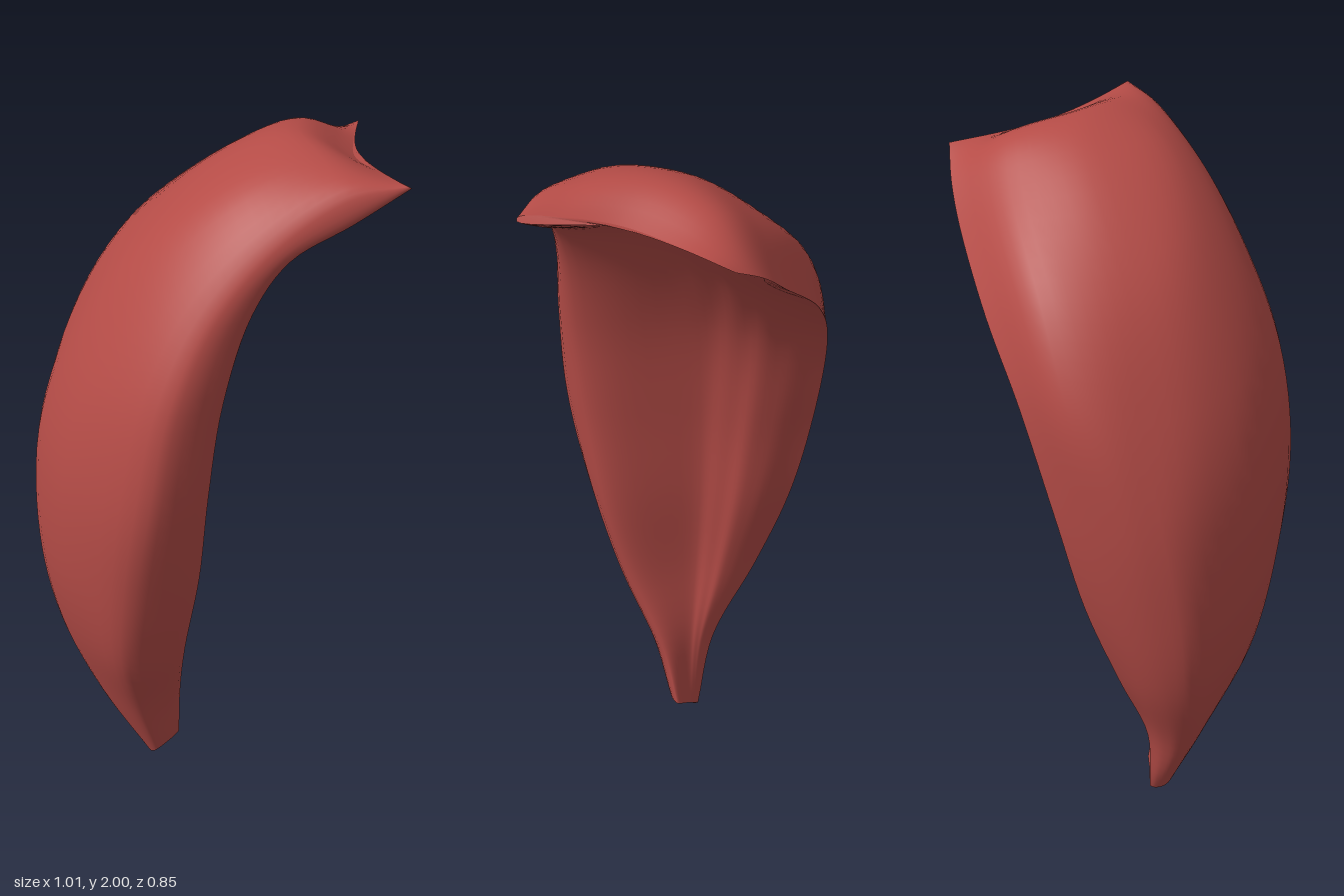
import * as THREE from 'three';

// Lengthwise rails, base to torn tip
const V = (a) => a.map((p) => new THREE.Vector3(...p));
const backLip = V([[-.2, .01, .02], [-.25, .25, 0], [-.32, .52, -.1], [-.34, .8, -.2], [-.33, 1.1, -.275],
  [-.25, 1.41, -.35], [-.1, 1.59, -.4], [.12, 1.75, -.425], [.23, 1.83, -.425], [.34, 1.89, -.41]]);
const backShoulder = V([[-.2, 0, .035], [-.31, .25, .035], [-.41, .52, -.03], [-.45, .8, -.09], [-.455, 1.12, -.15],
  [-.38, 1.43, -.24], [-.22, 1.68, -.28], [.05, 1.87, -.3], [.2, 1.95, -.28], [.335, 1.91, -.25]]);
const ridge = V([[-.2, 0, .06], [-.335, .25, .08], [-.45, .52, .07], [-.502, .8, .05], [-.497, 1.12, 0],
  [-.415, 1.4, -.03], [-.26, 1.68, -.06], [0, 1.92, -.1], [.2, 1.995, -.1], [.35, 1.93, -.09]]);
const frontArc = V([[-.19, .01, .085], [-.285, .25, .145], [-.36, .52, .21], [-.385, .8, .255], [-.385, 1.12, .25],
  [-.31, 1.42, .225], [-.13, 1.75, .165], [.08, 1.925, .125], [.28, 1.985, .06], [.42, 1.95, .03]]);
const frontShoulder = V([[-.17, .03, .1], [-.2, .25, .185], [-.21, .52, .31], [-.18, .8, .38], [-.13, 1.12, .425],
  [-.08, 1.42, .4], [.01, 1.65, .33], [.16, 1.83, .25], [.34, 1.945, .165], [.49, 1.957, .115]]);
const frontLip = V([[-.11, .06, .04], [-.1, .25, .08], [-.07, .5, .18], [-.02, .8, .24], [.01, 1.1, .28],
  [.05, 1.4, .29], [.12, 1.65, .26], [.21, 1.79, .23], [.36, 1.87, .17], [.5, 1.95, .11]]);

// Inner face: a shallow groove beside a low swell, thinning at the tip
const groove = [0, .04, .06, .06, .03, .02, .05, .2, .4, .9];
const swell = [0, -.1, -.2, -.22, -.22, -.15, -.05, .1, .3, .9];
const between = (t, target, amount) =>
  backLip.map((b, i) => b.clone().lerp(frontLip[i], t).lerp(target[i], amount[i]));
const innerMid = between(.5, ridge, groove);
const innerBack = between(.22, backShoulder, swell);

const curve = (pts) => new THREE.CatmullRomCurve3(pts, false, 'centripetal');
const rails = [backLip, backShoulder, ridge, frontArc, frontShoulder, frontLip, innerMid, innerBack].map(curve);
const NU = 30, NV = 54;

// Cross-section loops: out over the back to the front lip, then home across the inner face
const rows = [];
for (let j = 0; j <= NV; j++) {
  const v = j / NV;
  const p = rails.map((r) => r.getPoint(v));
  const loop = curve([...p, p[0]]);
  const row = [];
  for (let i = 0; i <= 2 * NU; i++) {
    const u = i / NU;
    const q = loop.getPoint(u <= 1 ? u * 5 / 8 : (5 + (u - 1) * 3) / 8);
    // Fine lengthwise wrinkles, fading out at the lips and ends
    const fade = Math.abs(Math.sin(Math.PI * u)) * Math.sin(Math.PI * v);
    q.x += Math.sin(u * 34 + 3 * Math.sin(v * 5)) * .002 * fade;
    row.push(q);
  }
  rows.push(row);
}

// Smooth surface through rows of points
function skin(name, grid, flip, material) {
  const n = grid[0].length, index = [];
  for (let j = 0; j < grid.length - 1; j++) {
    for (let i = 0; i < n - 1; i++) {
      const a = j * n + i, b = a + 1, c = a + n, d = c + 1;
      if (flip) index.push(a, c, b, b, c, d);
      else index.push(a, b, c, b, d, c);
    }
  }
  const geo = new THREE.BufferGeometry().setFromPoints(grid.flat());
  geo.setIndex(index);
  geo.computeVertexNormals();
  const mesh = new THREE.Mesh(geo, material);
  mesh.name = name;
  return mesh;
}

// Split a loop into its outer and inner halves so an end can be closed
const halves = (row) => [row.slice(0, NU + 1), row.slice(NU).reverse()];

export function createModel() {
  const red = new THREE.MeshStandardMaterial({ color: 0xb54c47 });
  red.name = 'dull red';
  const group = new THREE.Group();
  group.name = 'curvedPetal';
  group.add(
    skin('petalBody', rows, false, red),
    skin('tornTip', halves(rows[NV]), false, red),
    skin('baseEnd', halves(rows[0]), true, red),
  );
  return group;
}
